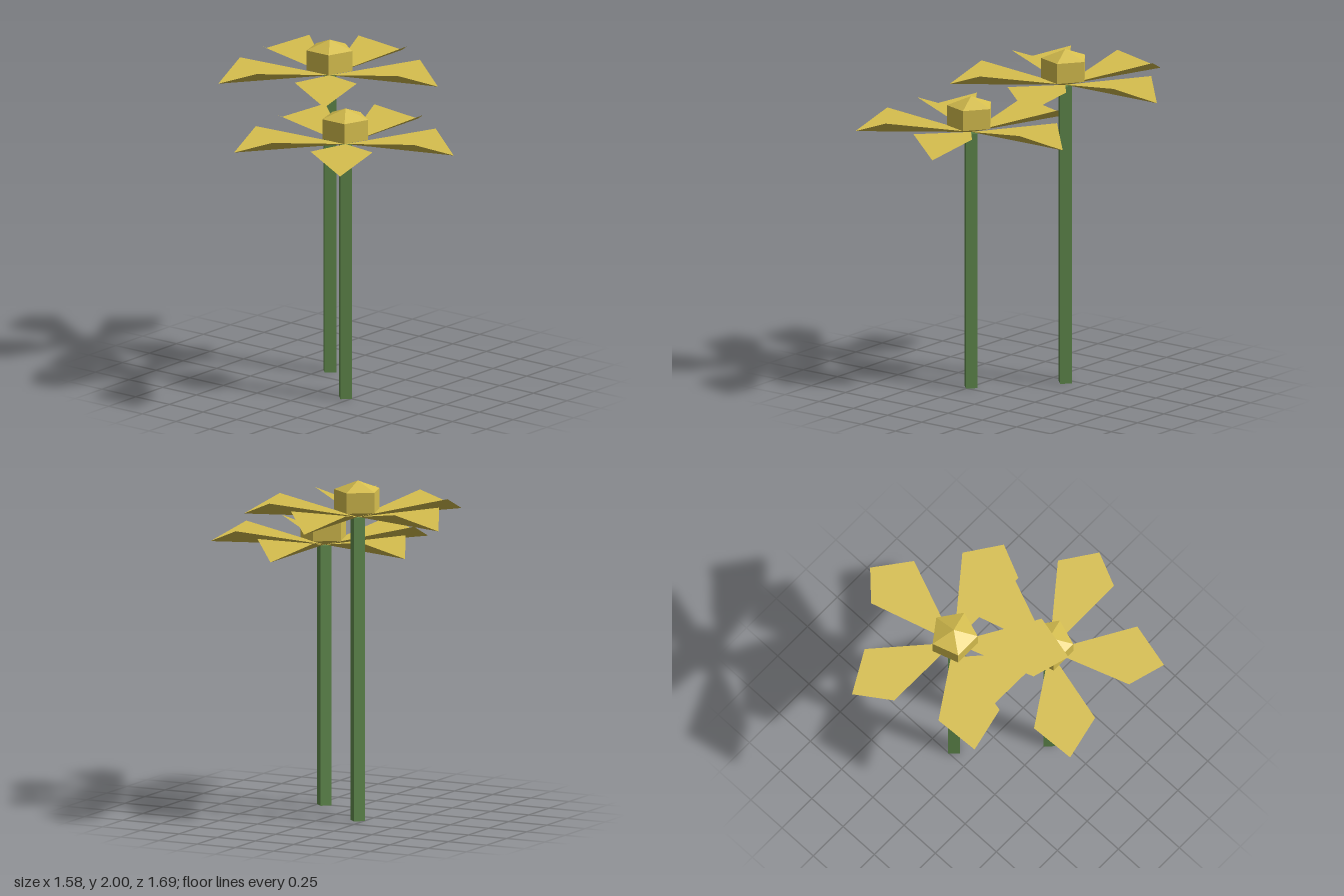
import * as THREE from 'three';

const PETALS = 5;

// Folded leaf: base and tip lie low, both shoulders are raised
function petalGeometry() {
  const base = [0, 0, 0], tip = [0.67, 0, 0];
  const far = [0.49, 0.095, -0.18], near = [0.49, 0.095, 0.18];
  const g = new THREE.BufferGeometry();
  g.setAttribute('position', new THREE.Float32BufferAttribute(
    [base, tip, far, base, near, tip].flat(), 3));
  // Soft, upward normals hide the fold
  g.setAttribute('normal', new THREE.Float32BufferAttribute(
    Array.from({ length: 18 }, (_, i) => (i % 3 === 1 ? 1 : 0)), 3));
  return g;
}

// Five-sided centre: tapered underside, straight wall, shallow pyramid top
function headGeometry() {
  const profile = [[0, 0], [0.14, 0.04], [0.14, 0.16], [0, 0.215]];
  const g = new THREE.LatheGeometry(
    profile.map(([r, y]) => new THREE.Vector2(r, y)), PETALS, Math.PI / 2);
  return g;
}

export function createModel() {
  const yellow = new THREE.MeshStandardMaterial({ color: 0xd6be4e });
  yellow.name = 'flowerYellow';
  yellow.flatShading = true;
  const petalYellow = new THREE.MeshStandardMaterial({ color: 0xd6be4e, side: THREE.DoubleSide });
  petalYellow.name = 'petalYellow';
  const green = new THREE.MeshStandardMaterial({ color: 0x628c4e });
  green.name = 'stemGreen';
  green.flatShading = true;

  const petalGeo = petalGeometry();
  const headGeo = headGeometry();

  function flower(name, x, z, height) {
    const group = new THREE.Group();
    group.name = name;
    group.position.set(x, 0, z);

    // Square stem with its corners on the axes
    const stem = new THREE.Mesh(
      new THREE.CylinderGeometry(0.048, 0.048, height, 4), green);
    stem.name = 'stem';
    stem.position.y = height / 2;
    group.add(stem);

    const head = new THREE.Mesh(headGeo, yellow);
    head.name = 'flowerHead';
    head.position.y = height;
    group.add(head);

    for (let i = 0; i < PETALS; i++) {
      const petal = new THREE.Mesh(petalGeo, petalYellow);
      petal.name = 'petal';
      petal.position.y = height;
      petal.rotation.y = (i / PETALS) * Math.PI * 2;
      group.add(petal);
    }
    return group;
  }

  const model = new THREE.Group();
  model.name = 'flowers';
  model.add(flower('tallFlower', 0.12, -0.207, 1.785));
  model.add(flower('shortFlower', -0.25, 0.207, 1.53));
  return model;
}
